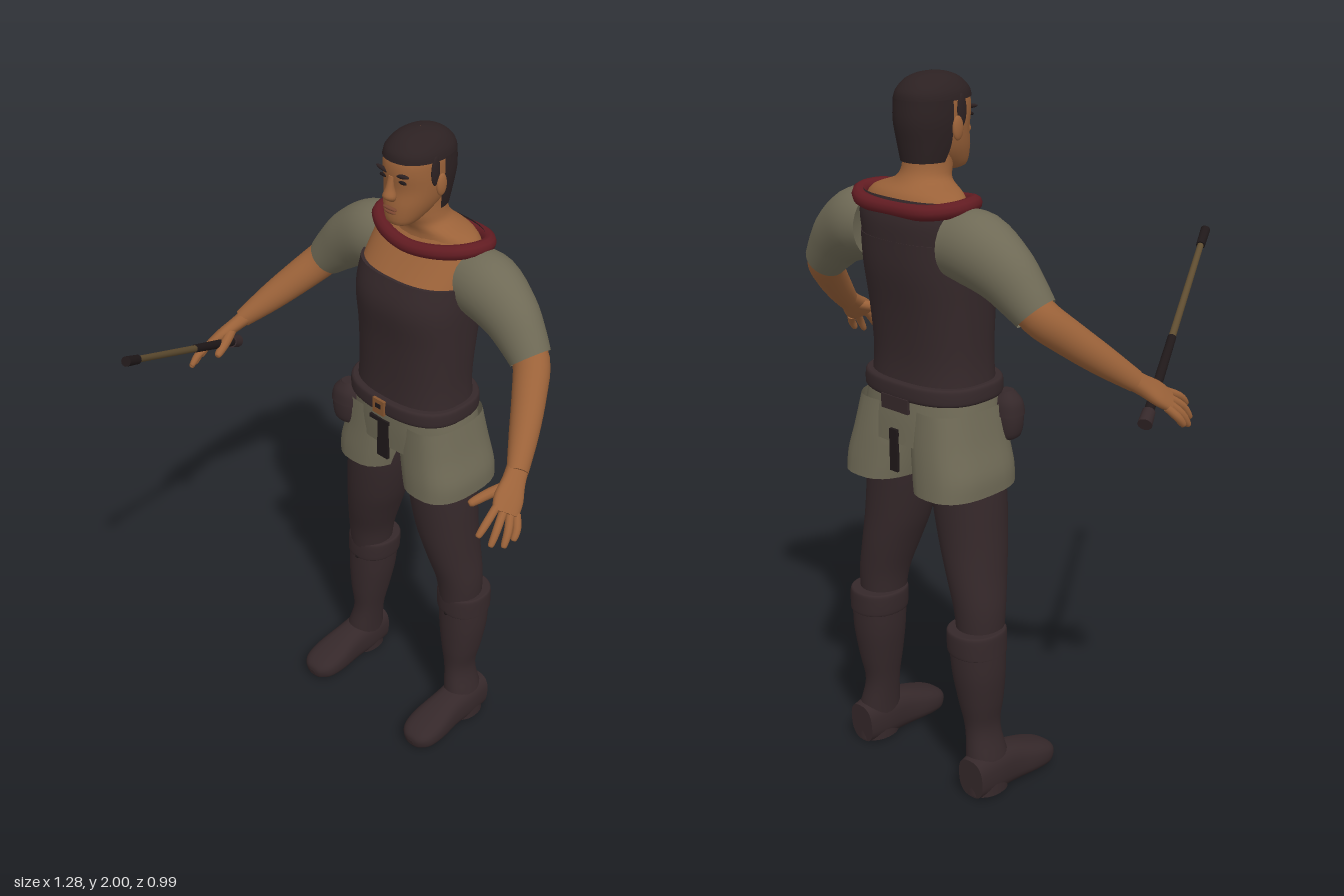
import * as THREE from 'three';

const mat = (name, color, side = THREE.FrontSide) => {
  const m = new THREE.MeshStandardMaterial({ color, side });
  m.name = name;
  return m;
};

// Smooth interpolation through a list of equal-length rows
function smoothRows(rows, steps) {
  const out = [];
  for (let i = 0; i < rows.length - 1; i++) {
    const p = [rows[Math.max(i - 1, 0)], rows[i], rows[i + 1], rows[Math.min(i + 2, rows.length - 1)]];
    for (let s = 0; s < steps; s++) {
      const t = s / steps;
      out.push(rows[i].map((_, k) => {
        const [a, b, c, d] = p.map(r => r[k]);
        return b + 0.5 * t * (c - a + t * (2 * a - 5 * b + 4 * c - d + t * (3 * (b - c) + d - a)));
      }));
    }
  }
  out.push(rows[rows.length - 1]);
  return out;
}

// Skin over rings [x, y, z, ru, rv]; angle 0 faces +z. With ref, rings tilt along the path.
function loft(rows, { n = 28, steps = 4, from = 0, to = Math.PI * 2, power = 2, ref = null, cap = true } = {}) {
  const R = smoothRows(rows, steps);
  const full = to - from > 6.28, cols = full ? n : n + 1;
  const pos = [], idx = [], P = R.map(r => new THREE.Vector3(r[0], r[1], r[2]));
  const bend = v => Math.sign(v) * Math.abs(v) ** (2 / power);
  R.forEach((r, i) => {
    let u = new THREE.Vector3(1, 0, 0), v = new THREE.Vector3(0, 0, 1);
    if (ref) {
      const d = P[Math.min(i + 1, R.length - 1)].clone().sub(P[Math.max(i - 1, 0)]).normalize();
      u = d.clone().cross(new THREE.Vector3(...ref)).normalize();
      v = u.clone().cross(d);
    }
    for (let j = 0; j < cols; j++) {
      const a = from + (to - from) * j / n;
      pos.push(...P[i].clone().addScaledVector(u, Math.max(r[3], 0.001) * bend(Math.sin(a)))
        .addScaledVector(v, Math.max(r[4], 0.001) * bend(Math.cos(a))).toArray());
    }
  });
  for (let i = 0; i < R.length - 1; i++) for (let j = 0; j < n; j++) {
    const k = (j + 1) % cols, a = i * cols + j, b = i * cols + k;
    idx.push(a, b, b + cols, a, b + cols, a + cols);
  }
  if (full && cap) for (const i of [0, R.length - 1]) {
    const base = pos.length / 3;
    pos.push(...P[i].toArray());
    for (let j = 0; j < cols; j++) pos.push(...pos.slice((i * cols + j) * 3, (i * cols + j) * 3 + 3));
    for (let j = 0; j < cols; j++) {
      const a = base + 1 + j, b = base + 1 + (j + 1) % cols;
      idx.push(...(i ? [base, a, b] : [base, b, a]));
    }
  }
  const g = new THREE.BufferGeometry();
  g.setAttribute('position', new THREE.Float32BufferAttribute(pos, 3));
  g.setIndex(idx);
  g.computeVertexNormals();
  return g;
}

// Rings given as [y, half width, front z, back z]
const body = (rows, opt) => loft(rows.map(([y, w, f, b]) => [0, y, (f + b) / 2, w, (f - b) / 2]), opt);
const blob = (x, y, z, a, b, c) => new THREE.SphereGeometry(1, 20, 14).scale(a, b, c).translate(x, y, z);
const box = (x, y, z, a, b, c) => new THREE.BoxGeometry(a, b, c).translate(x, y, z);

function mirror(g) {
  const m = g.clone().scale(-1, 1, 1), ix = m.index.array;
  for (let i = 0; i < ix.length; i += 3) [ix[i], ix[i + 1]] = [ix[i + 1], ix[i]];
  m.computeVertexNormals();
  return m;
}

export function createModel() {
  const model = new THREE.Group();
  const skin = mat('skin', 0x9b6239), linen = mat('linen', 0x6f6a56, THREE.DoubleSide);
  const leather = mat('darkLeather', 0x35282a, THREE.DoubleSide), hair = mat('hair', 0x2c2122, THREE.DoubleSide);
  const red = mat('redScarf', 0x621c22), wood = mat('wood', 0x5e4c30);
  const brass = mat('buckle', 0x86552f), lip = mat('lips', 0x7a4630), ink = mat('blackTrim', 0x1f1819);
  const add = (name, g, m) => {
    const mesh = new THREE.Mesh(g, m);
    mesh.name = name;
    model.add(mesh);
  };
  const pair = (name, g, m) => {
    add(name + 'Left', g, m);
    add(name + 'Right', mirror(g), m);
  };
  const PI = Math.PI;

  // Tunic, bare upper chest and neck
  add('tunic', body([[1.14, .184, -.19, -.455], [1.25, .174, -.195, -.445], [1.38, .178, -.19, -.455],
    [1.5, .184, -.177, -.474], [1.585, .183, -.198, -.478]], { power: 2.5, n: 40 }), leather);
  const upper = [[1.582, .18, -.205, -.477], [1.64, .178, -.25, -.477], [1.695, .165, -.29, -.462]];
  add('chest', body(upper, { from: -PI / 2, to: PI / 2, power: 2.4 }), skin);
  add('tunicBack', body(upper, { from: PI / 2, to: PI * 1.5, power: 2.4 }), leather);
  add('neck', body([[1.66, .172, -.28, -.465], [1.7, .148, -.285, -.45], [1.728, .08, -.275, -.42],
    [1.76, .063, -.262, -.402], [1.82, .06, -.26, -.395]]), skin);

  // Scarf: a drooping closed loop
  const loop = [[0, 1.662, -.268], [.1, 1.672, -.285], [.165, 1.684, -.33], [.176, 1.682, -.4], [.12, 1.672, -.452],
    [0, 1.668, -.46], [-.12, 1.672, -.452], [-.176, 1.682, -.4], [-.165, 1.684, -.33], [-.1, 1.672, -.285]];
  add('scarf', new THREE.TubeGeometry(new THREE.CatmullRomCurve3(loop.map(p => new THREE.Vector3(...p)), true),
    60, .021, 10, true), red);

  // Head
  add('head', body([[1.742, .022, -.225, -.265], [1.755, .043, -.203, -.3], [1.8, .066, -.2, -.37], [1.85, .077, -.206, -.4],
    [1.9, .08, -.2, -.408], [1.94, .077, -.207, -.405], [1.975, .055, -.24, -.375], [1.99, .02, -.28, -.33]], { power: 2.2 }), skin);
  add('hairCap', body([[1.932, .085, -.2, -.418], [1.955, .079, -.206, -.412], [1.98, .06, -.232, -.388],
    [1.994, .034, -.265, -.355], [2, .001, -.309, -.311]], { power: 2.2, cap: false }), hair);
  add('hairBack', body([[1.775, .064, -.245, -.404], [1.82, .076, -.208, -.412], [1.88, .085, -.197, -.421],
    [1.936, .085, -.2, -.418]], { from: PI * .52, to: PI * 1.48, power: 2.2 }), hair);
  pair('sideburn', blob(.081, 1.905, -.285, .006, .042, .016), hair);
  pair('ear', blob(.086, 1.862, -.305, .009, .032, .018), skin);
  add('nose', loft([[0, 1.822, -.2, .014, .008], [0, 1.836, -.196, .02, .019], [0, 1.86, -.198, .012, .012],
    [0, 1.892, -.2, .009, .003]], { n: 16 }), skin);
  add('upperLip', blob(0, 1.799, -.199, .026, .005, .007), lip);
  add('lowerLip', blob(0, 1.789, -.199, .021, .005, .007), lip);
  pair('brow', blob(0, 0, 0, .024, .006, .006).rotateZ(.16).translate(.036, 1.9, -.206), hair);
  pair('eye', blob(.034, 1.881, -.209, .015, .005, .005), ink);

  // Sleeves, arms and hands
  pair('sleeve', loft([[.15, 1.585, -.37, .092, .09], [.22, 1.578, -.368, .1, .092], [.3, 1.535, -.362, .087, .078],
    [.355, 1.485, -.355, .073, .066], [.395, 1.442, -.348, .06, .058]], { ref: [0, 0, 1], cap: false }), linen);
  pair('arm', loft([[.34, 1.5, -.357, .05, .05], [.4, 1.437, -.345, .053, .05], [.45, 1.375, -.285, .049, .046],
    [.5, 1.31, -.212, .041, .04], [.547, 1.248, -.138, .027, .031]], { ref: [0, 0, 1] }), skin);
  const across = [.6, -.42, -.68];
  pair('palm', loft([[.538, 1.258, -.152, .024, .03], [.555, 1.232, -.115, .021, .033], [.573, 1.205, -.077, .019, .042],
    [.59, 1.18, -.046, .014, .038]], { ref: across, power: 2.4 }), skin);
  const fingers = [
    [[.568, 1.199, -.035], [.577, 1.175, .012], [.577, 1.148, .042]],
    [[.584, 1.188, -.045], [.6, 1.158, -.005], [.605, 1.122, .022]],
    [[.597, 1.178, -.058], [.617, 1.147, -.03], [.624, 1.113, -.008]],
    [[.605, 1.172, -.075], [.625, 1.146, -.056], [.631, 1.122, -.038]],
    [[.555, 1.228, -.105], [.528, 1.212, -.055], [.508, 1.195, -.003]]];
  fingers.forEach(([a, b, c], i) => {
    const r = i === 4 ? .015 : .0115;
    const tip = c.map((v, k) => v + (c[k] - b[k]) * .12);
    pair(i === 4 ? 'thumb' : 'finger' + (i + 1), loft([[...a, r, r], [...b, r, r], [...c, r * .75, r * .75], [...tip, .001, .001]],
      { n: 10, steps: 3, ref: across }), skin);
  });

  // Shorts with a slit at front and back
  add('shortsTop', body([[1.03, .2, -.195, -.472], [1.1, .196, -.19, -.466], [1.17, .184, -.188, -.456]], { power: 2.6 }), linen);
  pair('shortsLeg', loft([[.132, .905, -.342, .104, .147], [.126, .96, -.339, .108, .145], [.11, 1.04, -.335, .102, .139],
    [.1, 1.13, -.328, .092, .132]], { power: 2.6, cap: false }), linen);
  add('frontSlit', box(0, 1.05, -.193, .042, .12, .009), ink);
  add('frontTie', box(-.012, 1.118, -.188, .075, .012, .009), ink);
  add('backSlit', box(0, 1.01, -.474, .028, .12, .009), ink);
  add('backTab', box(0, 1.14, -.466, .1, .04, .009), leather);

  // Belt, buckle and pouch
  add('belt', body([[1.153, .191, -.178, -.464], [1.162, .195, -.174, -.468], [1.192, .194, -.174, -.467],
    [1.2, .188, -.18, -.462]], { power: 2.6, n: 40 }), leather);
  add('buckle', box(0, 1.176, -.172, .045, .048, .009), brass);
  add('buckleHole', box(0, 1.18, -.168, .02, .014, .005), ink);
  add('pouch', loft([[-.178, 1.02, -.228, .018, .015], [-.178, 1.035, -.225, .04, .034], [-.178, 1.08, -.225, .049, .04],
    [-.178, 1.13, -.225, .042, .035], [-.178, 1.16, -.225, .02, .02]], { power: 2.3 }), leather);
  add('pouchFlap', loft([[-.178, 1.095, -.225, .052, .044], [-.178, 1.13, -.225, .046, .039],
    [-.178, 1.155, -.225, .025, .024]], { power: 2.3 }), leather);

  // Legs, boots and feet
  pair('leg', loft([[.195, .46, -.35, .06, .065], [.19, .56, -.346, .068, .074], [.168, .66, -.335, .079, .088],
    [.146, .76, -.325, .093, .096], [.125, .9, -.32, .104, .102], [.11, 1.02, -.325, .1, .1]], { power: 2.1 }), leather);
  pair('boot', loft([[.225, .012, -.36, .052, .064], [.222, .1, -.354, .05, .066], [.205, .2, -.354, .042, .054],
    [.203, .29, -.358, .057, .066], [.2, .39, -.363, .071, .076], [.195, .505, -.365, .074, .077]], { power: 2.2 }), leather);
  pair('bootCuff', loft([[.2, .442, -.365, .075, .08], [.197, .45, -.365, .078, .083], [.195, .5, -.365, .079, .083],
    [.195, .51, -.365, .074, .078]], { power: 2.2 }), leather);
  pair('bootStud', blob(.195, .445, -.285, .007, .007, .005), ink);
  pair('foot', loft([[.225, .065, -.425, .045, .06], [.224, .068, -.36, .054, .066], [.224, .062, -.28, .054, .06],
    [.225, .049, -.2, .062, .047], [.226, .038, -.145, .056, .036], [.226, .03, -.118, .034, .024], [.226, .028, -.11, .012, .01]],
    { ref: [0, 1, 0], power: 2.6 }), leather);

  // Wooden rod held in the right hand, wrapped at grip and tip
  const low = new THREE.Vector3(-.592, 1.143, -.15), high = new THREE.Vector3(-.292, 1.488, .49);
  const rod = (name, t0, t1, r0, r1, m) => {
    const a = low.clone().lerp(high, t0).toArray(), b = low.clone().lerp(high, t1).toArray();
    add(name, loft([[...a, r0, r0], [...b, r1, r1]], { n: 12, steps: 1, ref: [0, 1, 0] }), m);
  };
  rod('rodShaft', .02, .98, .011, .009, wood);
  rod('rodGrip', .04, .42, .014, .012, ink);
  rod('rodPommel', 0, .06, .02, .018, leather);
  rod('rodTip', .91, 1, .013, .014, ink);
  return model;
}
